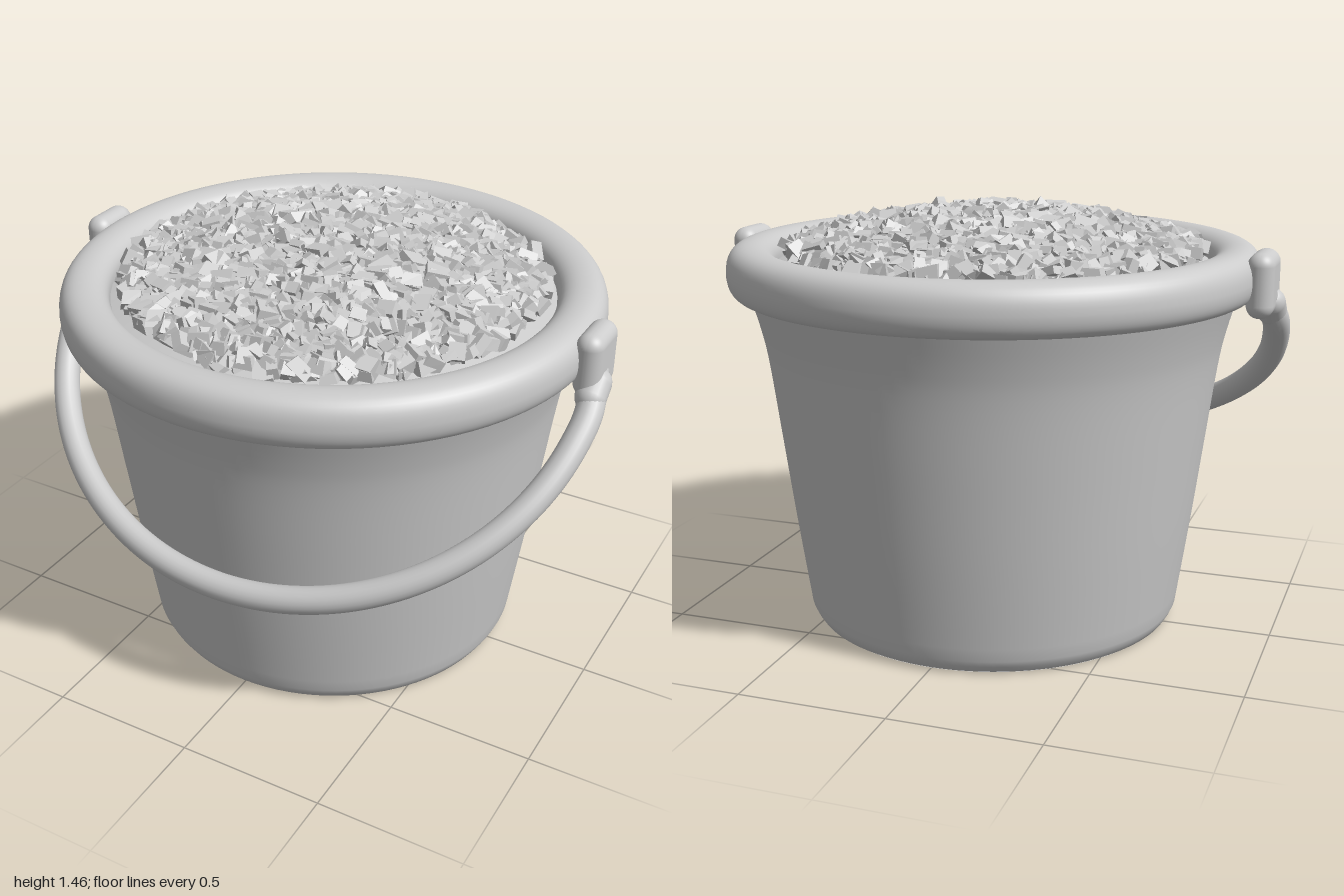
import * as THREE from 'three';
import { mergeGeometries } from 'three/addons/utils/BufferGeometryUtils.js';
import { RoundedBoxGeometry } from 'three/addons/geometries/RoundedBoxGeometry.js';

const smooth = new THREE.MeshStandardMaterial({ color: 0xcccccc, side: THREE.DoubleSide });
const faceted = new THREE.MeshStandardMaterial({ color: 0xcccccc, flatShading: true });

function seeded(seed) {
  return () => {
    seed = (seed * 1664525 + 1013904223) % 4294967296;
    return seed / 4294967296;
  };
}

function addMesh(parent, name, geometry, material = smooth) {
  const mesh = new THREE.Mesh(geometry, material);
  mesh.name = name;
  parent.add(mesh);
  return mesh;
}

function lathe(points, segments = 96) {
  return new THREE.LatheGeometry(points.map(([r, y]) => new THREE.Vector2(r, y)), segments);
}

// Height of the heaped gravel at radius r
const heapHeight = (r) => 1.395 - 0.11 * (r / 0.7) ** 2;

// Chipped box stones scattered over the heap in a sunflower spiral
function gravelGeometry(count) {
  const rand = seeded(7);
  const stones = [];
  const matrix = new THREE.Matrix4();
  const turn = new THREE.Quaternion();
  for (let i = 0; i < count; i++) {
    const r = 0.685 * Math.sqrt((i + 0.5) / count);
    const a = i * 2.39996 + (rand() - 0.5) * 0.1;
    const stone = new THREE.BoxGeometry(1, 1, 1);
    // Shear and taper each box so no two stones match
    const p = stone.attributes.position;
    const taper = 0.65 + 0.35 * rand();
    const shear = (rand() - 0.5) * 0.5;
    for (let k = 0; k < p.count; k++) {
      const t = p.getY(k) > 0 ? taper : 1;
      p.setXYZ(k, p.getX(k) * t + shear * p.getZ(k), p.getY(k) + 0.2 * shear * p.getX(k), p.getZ(k) * t);
    }
    turn.setFromEuler(new THREE.Euler((rand() - 0.5) * 1.6, rand() * 6.283, (rand() - 0.5) * 1.6));
    matrix.compose(
      new THREE.Vector3(r * Math.cos(a), heapHeight(r) + (rand() - 0.5) * 0.03, r * Math.sin(a)),
      turn,
      new THREE.Vector3(0.035 + 0.045 * rand(), 0.025 + 0.03 * rand(), 0.035 + 0.045 * rand())
    );
    stones.push(stone.applyMatrix4(matrix));
  }
  return mergeGeometries(stones);
}

export function createModel() {
  const bucket = new THREE.Group();
  bucket.name = 'bucket';

  // Tapered wall, flaring just below the rim
  const wall = new THREE.SplineCurve([
    [0.655, 0.05], [0.7, 0.36], [0.74, 0.66], [0.775, 0.92], [0.8, 1.04], [0.835, 1.16]
  ].map(([x, y]) => new THREE.Vector2(x, y))).getPoints(24).map((v) => [v.x, v.y]);
  addMesh(bucket, 'wall', lathe([[0.618, 0], [0.632, 0.008], [0.645, 0.028], ...wall]));

  // Flat base
  const base = addMesh(bucket, 'base', new THREE.CircleGeometry(0.62, 96));
  base.rotation.x = Math.PI / 2;

  // Thick rolled rim with a flat underside
  const rim = new THREE.Shape();
  rim.moveTo(0.79, 1.15);
  rim.lineTo(0.865, 1.15);
  rim.bezierCurveTo(0.895, 1.155, 0.907, 1.19, 0.907, 1.225);
  rim.bezierCurveTo(0.907, 1.29, 0.875, 1.318, 0.825, 1.318);
  rim.bezierCurveTo(0.775, 1.318, 0.742, 1.29, 0.742, 1.25);
  rim.lineTo(0.735, 1.15);
  addMesh(bucket, 'rim', lathe(rim.getPoints(10).map((v) => [v.x, v.y])));

  // Heaped filling: a low dome carrying loose stones
  const dome = [];
  for (let i = 0; i <= 12; i++) {
    const r = 0.74 * (1 - i / 12);
    dome.push([r, heapHeight(r) - 0.025]);
  }
  addMesh(bucket, 'gravelBed', lathe(dome, 64));
  addMesh(bucket, 'gravelStones', gravelGeometry(2200), faceted);

  // Carrying handle: half an ellipse hanging forward, ends turned in to the pivots
  const path = [new THREE.Vector3(-0.925, 1.18, 0)];
  for (let i = 0; i <= 24; i++) {
    const a = Math.PI * (1 - i / 24);
    const drop = Math.sin(a);
    path.push(new THREE.Vector3(0.953 * Math.cos(a), 1.085 - 0.57 * drop, 0.1 + 0.675 * drop));
  }
  path.push(new THREE.Vector3(0.925, 1.18, 0));
  addMesh(bucket, 'handle', new THREE.TubeGeometry(new THREE.CatmullRomCurve3(path), 120, 0.045, 20));

  // Pivot lugs on the rim and the swollen handle ends below them
  for (const side of [-1, 1]) {
    const name = side > 0 ? 'left' : 'right';
    const lug = addMesh(bucket, name + 'Lug', new RoundedBoxGeometry(0.09, 0.215, 0.19, 6, 0.044));
    lug.position.set(side * 0.922, 1.217, 0);
    const end = addMesh(bucket, name + 'HandleEnd', new THREE.CapsuleGeometry(0.05, 0.05, 8, 20));
    end.position.set(side * 0.943, 1.135, 0.05);
    end.rotation.x = -0.86;
  }
  return bucket;
}
